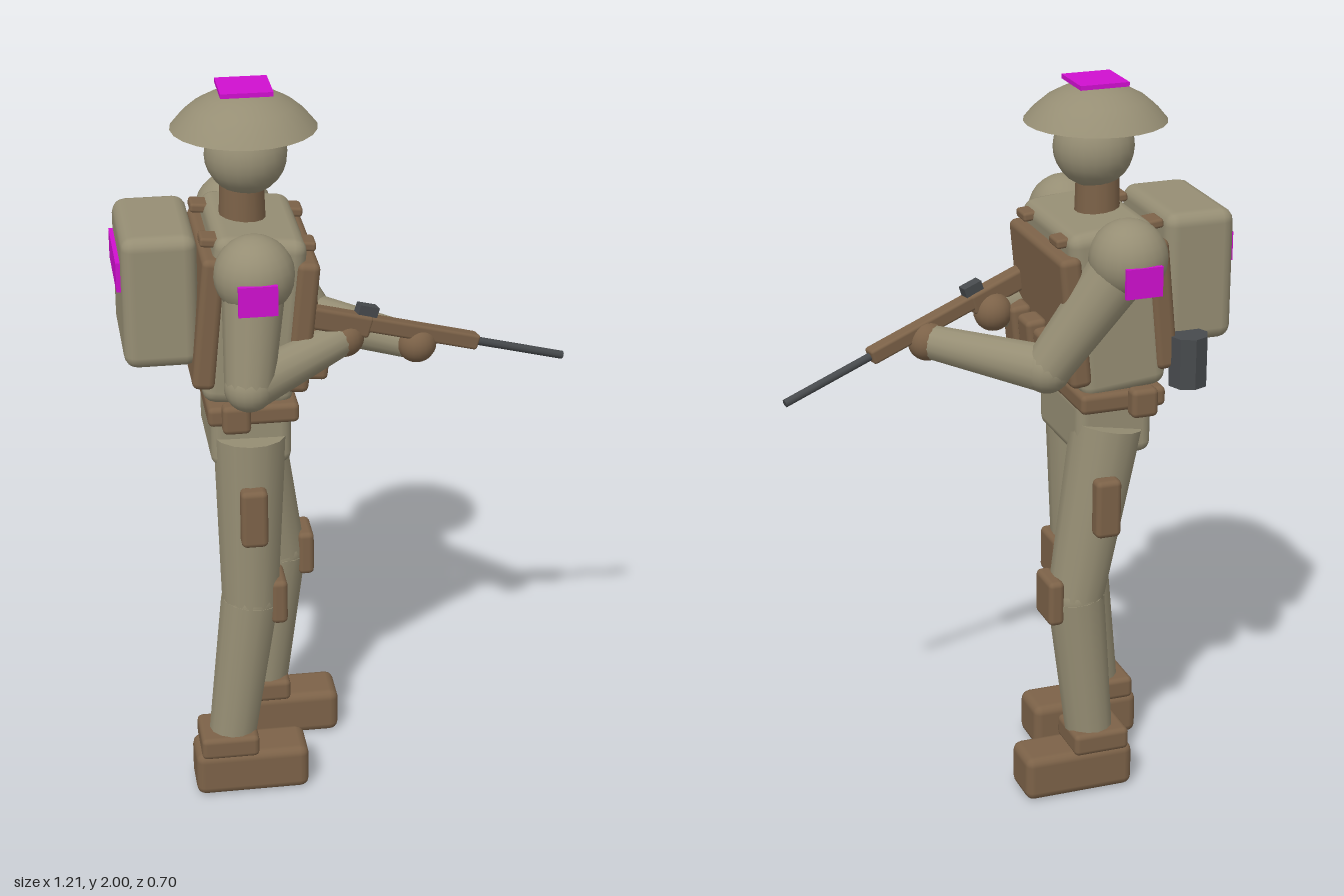
import * as THREE from 'three';
import { RoundedBoxGeometry } from 'three/addons/geometries/RoundedBoxGeometry.js';

const mat = (name, color) => {
  const m = new THREE.MeshStandardMaterial({ color });
  m.name = name;
  return m;
};

export function createModel() {
  const root = new THREE.Group();
  root.name = 'soldier';
  const khaki = mat('khaki cloth', 0x968e74);
  const brown = mat('brown leather', 0x7c6248);
  const dark = mat('dark metal', 0x474a4d);
  const marker = mat('magenta marker', 0xd010d0);
  const V = (a) => new THREE.Vector3(...a);

  const add = (name, geo, material, pos = [0, 0, 0], parent = root) => {
    const m = new THREE.Mesh(geo, material);
    m.name = name;
    m.position.set(...pos);
    parent.add(m);
    return m;
  };
  // Bevelled box given by its centre and size
  const block = (name, material, pos, size, bevel = 0.015, parent = root) =>
    add(name, new RoundedBoxGeometry(...size, 2, Math.min(bevel, Math.min(...size) * 0.45)), material, pos, parent);
  const ball = (name, material, pos, r) => add(name, new THREE.SphereGeometry(r, 20, 14), material, pos);
  // Tapered cylinder between two points
  const limb = (name, material, a, b, ra, rb, sides = 14) => {
    const A = V(a), B = V(b), d = B.clone().sub(A);
    const m = add(name, new THREE.CylinderGeometry(rb, ra, d.length(), sides), material);
    m.position.copy(A).add(B).multiplyScalar(0.5);
    m.quaternion.setFromUnitVectors(new THREE.Vector3(0, 1, 0), d.normalize());
    return m;
  };

  const cz = -0.02; // centre line of the body, which faces +x

  // Head, neck and brimmed helmet
  ball('head', khaki, [-0.25, 1.82, cz], 0.108);
  add('neck', new THREE.CylinderGeometry(0.058, 0.062, 0.14, 14), brown, [-0.262, 1.68, cz]);
  const profile = [[0, 0], [0.19, 0], [0.165, 0.03], [0.132, 0.058], [0.092, 0.08], [0.048, 0.095], [0, 0.1]]
    .map((p) => new THREE.Vector2(...p));
  const rim = new THREE.LatheGeometry(profile.slice(0, 2), 24);
  const dome = new THREE.LatheGeometry(profile.slice(1), 24);
  add('helmetUnderside', rim, khaki, [-0.254, 1.89, cz]);
  add('helmetDome', dome, khaki, [-0.254, 1.89, cz]);
  add('helmetMarker', new THREE.BoxGeometry(0.135, 0.012, 0.14), marker, [-0.252, 1.994, cz]);

  // Torso and vest, leaning slightly forward
  const torso = new THREE.Group();
  torso.name = 'torso';
  torso.position.set(-0.255, 1.42, cz);
  torso.rotation.z = -0.1;
  root.add(torso);
  block('chest', khaki, [0, 0, 0], [0.24, 0.46, 0.39], 0.035, torso);
  block('frontVestPanel', brown, [0.125, -0.005, 0], [0.06, 0.36, 0.41], 0.018, torso);
  block('backVestPanel', brown, [-0.12, -0.005, 0], [0.06, 0.36, 0.41], 0.018, torso);
  for (const z of [-0.125, 0.125]) {
    block('shoulderStrap', brown, [-0.005, 0.205, z], [0.3, 0.025, 0.065], 0.008, torso);
  }
  for (const z of [-0.12, 0, 0.12]) {
    block('magazinePouch', brown, [0.18, -0.1, z], [0.06, 0.13, 0.085], 0.015, torso);
  }

  // Belt with side pouches, and hips
  block('belt', brown, [-0.265, 1.175, cz + 0.005], [0.24, 0.055, 0.43], 0.015);
  block('hips', khaki, [-0.264, 1.08, cz], [0.215, 0.17, 0.31], 0.03);
  for (const s of [-1, 1]) {
    block('beltPouch', brown, [-0.312, 1.175, cz + s * 0.222], [0.075, 0.08, 0.05], 0.015);
  }

  // Backpack with marker, and canteen
  block('backpack', khaki, [-0.493, 1.48, cz], [0.195, 0.36, 0.34], 0.035);
  add('backpackMarker', new THREE.BoxGeometry(0.012, 0.08, 0.25), marker, [-0.596, 1.545, cz]);
  add('canteen', new THREE.CylinderGeometry(0.054, 0.054, 0.14, 8).toNonIndexed(), dark, [-0.449, 1.27, -0.218])
    .geometry.computeVertexNormals();

  // Legs, stepping with the left foot ahead
  const legs = [
    { side: 1, hip: [-0.267, 1.08, 0.1], knee: [-0.275, 0.59, 0.115], ankle: [-0.332, 0.16, 0.122], thighX: -0.27, pouchZ: 0.205 },
    { side: -1, hip: [-0.255, 1.08, -0.13], knee: [-0.165, 0.59, -0.148], ankle: [-0.207, 0.16, -0.156], thighX: -0.215, pouchZ: -0.24 },
  ];
  for (const { side, hip, knee, ankle, thighX, pouchZ } of legs) {
    const n = side > 0 ? 'right' : 'left';
    limb(n + 'Thigh', khaki, hip, knee, 0.098, 0.078);
    ball(n + 'Knee', khaki, knee, 0.078);
    limb(n + 'Shin', khaki, knee, ankle, 0.08, 0.066);
    block(n + 'KneePad', brown, [knee[0] + 0.075, 0.595, knee[2]], [0.045, 0.13, 0.118]);
    block(n + 'ThighPouch', brown, [thighX, 0.882, pouchZ], [0.072, 0.165, 0.05]);
    block(n + 'BootCuff', brown, [ankle[0] - 0.012, 0.158, ankle[2]], [0.16, 0.065, 0.152]);
    block(n + 'Boot', brown, [ankle[0] + 0.05, 0.07, ankle[2]], [0.315, 0.13, 0.14], 0.025);
  }

  // Arms, both hands on the rifle
  const arms = [
    { n: 'right', shoulder: [-0.26, 1.575, 0.21], elbow: [-0.285, 1.295, 0.275], hand: [-0.015, 1.345, 0.11], out: 0.312 },
    { n: 'left', shoulder: [-0.26, 1.58, -0.248], elbow: [-0.06, 1.28, -0.19], hand: [0.185, 1.298, 0.07], out: -0.35 },
  ];
  for (const { n, shoulder, elbow, hand, out } of arms) {
    ball(n + 'Shoulder', khaki, shoulder, 0.104);
    limb(n + 'UpperArm', khaki, shoulder, elbow, 0.084, 0.064);
    ball(n + 'Elbow', khaki, elbow, 0.065);
    limb(n + 'Forearm', khaki, elbow, hand, 0.064, 0.046);
    ball(n + 'Hand', brown, hand, 0.053);
    add(n + 'ArmMarker', new THREE.BoxGeometry(0.1, 0.08, 0.012), marker, [-0.263, 1.545, out]);
  }

  // Rifle, its local +x running along the barrel
  const rifle = new THREE.Group();
  rifle.name = 'rifle';
  const butt = V([-0.1, 1.43, 0.142]), muzzle = V([0.6, 1.2, -0.005]);
  const dir = muzzle.clone().sub(butt), length = dir.length();
  dir.normalize();
  const across = dir.clone().cross(new THREE.Vector3(0, 1, 0)).normalize();
  rifle.quaternion.setFromRotationMatrix(
    new THREE.Matrix4().makeBasis(dir, across.clone().cross(dir), across));
  rifle.position.copy(butt);
  root.add(rifle);
  block('stock', brown, [0.07, -0.008, 0], [0.19, 0.06, 0.046], 0.01, rifle);
  block('foreStock', brown, [0.3, 0, 0], [0.37, 0.042, 0.042], 0.008, rifle);
  const barrel = add('barrel', new THREE.CylinderGeometry(0.011, 0.011, length - 0.45, 10), dark, [(length + 0.45) / 2, 0, 0], rifle);
  barrel.rotation.z = Math.PI / 2;
  add('rearSight', new THREE.BoxGeometry(0.055, 0.035, 0.03), dark, [0.145, 0.03, 0], rifle);

  return root;
}
